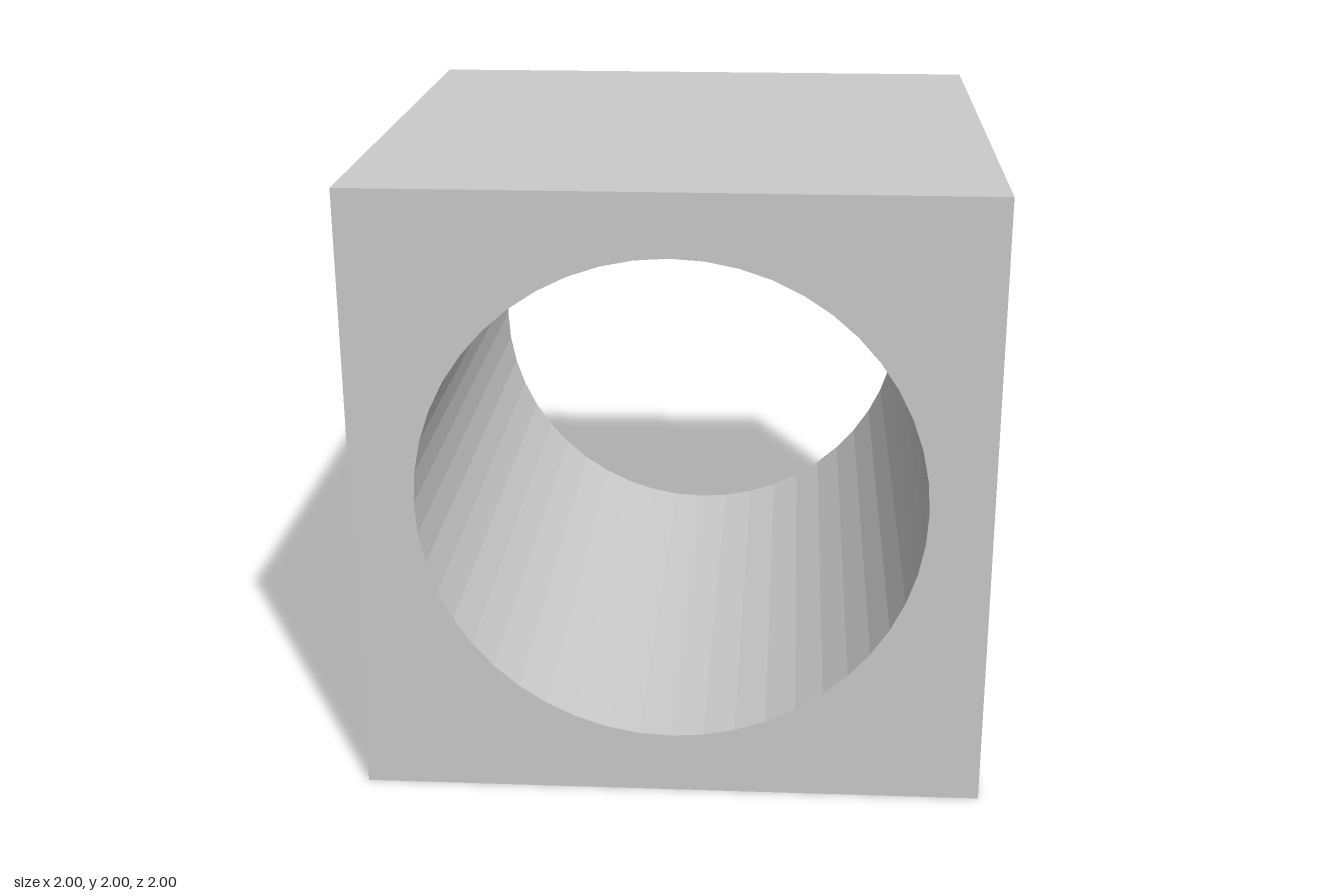
import * as THREE from 'three';

const SIZE = 2;
const HOLE_RADIUS = 0.8;

export function createModel() {
  const group = new THREE.Group();
  const h = SIZE / 2;

  // Square outline with a round through-hole
  const outline = new THREE.Shape([
    new THREE.Vector2(-h, 0),
    new THREE.Vector2(h, 0),
    new THREE.Vector2(h, SIZE),
    new THREE.Vector2(-h, SIZE),
  ]);
  const hole = new THREE.Path().absarc(0, h, HOLE_RADIUS, 0, Math.PI * 2, true);
  outline.holes.push(hole);

  // Cube bored from front to back
  const geometry = new THREE.ExtrudeGeometry(outline, {
    depth: SIZE,
    bevelEnabled: false,
    curveSegments: 24, // a full arc gets twice this many sides
  });
  geometry.translate(0, 0, -h);

  const block = new THREE.Mesh(
    geometry,
    new THREE.MeshStandardMaterial({ color: 0xcccccc, flatShading: true })
  );
  block.name = 'boredCube';
  group.add(block);
  return group;
}
